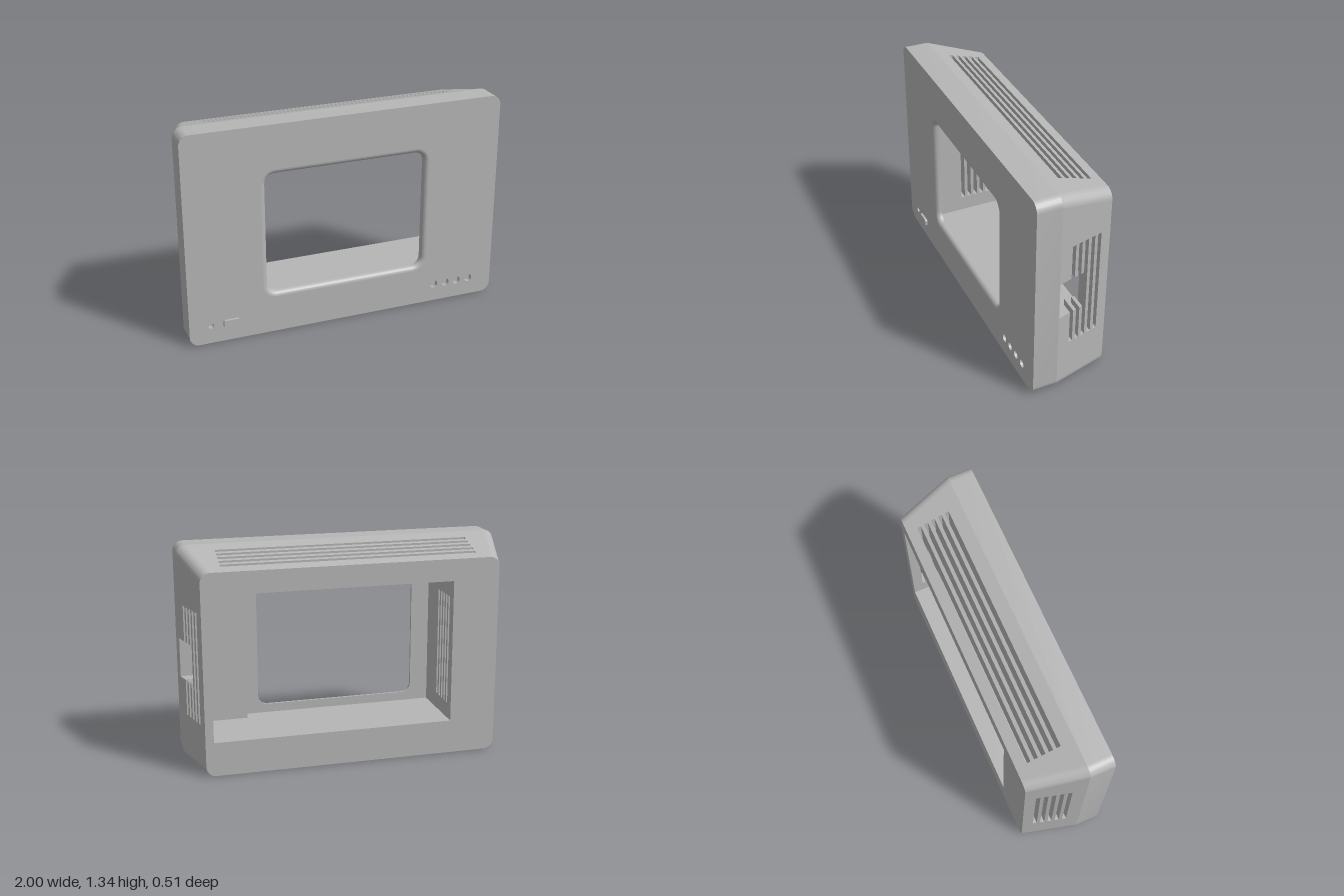
import * as THREE from 'three';
import { toCreasedNormals, mergeGeometries } from 'three/addons/utils/BufferGeometryUtils.js';

// Main dimensions
const FRONT = 0.24, BEND = 0.09, BACK = -0.255, R = 0.06;
const CAV = { x0: -0.62, x1: 0.86, y0: 0.21, y1: 1.1, ledgeX: 0.59, ledgeZ: 0.125, z: 0.2 };
const taper = z => Math.min(1, Math.max(0, (BEND - z) / (BEND - BACK)));
const halfW = z => 1 - 0.09 * taper(z);
const topY = z => 1.335 - 0.1 * taper(z);

export function createModel() {
  const model = new THREE.Group();
  const grey = new THREE.MeshStandardMaterial({ color: 0xb6b6b6, side: THREE.DoubleSide });
  grey.name = 'case grey';

  const add = (name, ...geos) => {
    const mesh = new THREE.Mesh(mergeGeometries(geos), grey);
    mesh.name = name;
    model.add(mesh);
  };

  // 2D outlines
  const rect = (a0, a1, b0, b1) => [[a0, b0], [a1, b0], [a1, b1], [a0, b1]];
  const rounded = (x0, x1, y0, y1, r) => {
    const pts = [];
    [[x1 - r, y1 - r], [x0 + r, y1 - r], [x0 + r, y0 + r], [x1 - r, y0 + r]].forEach(([cx, cy], q) => {
      for (let i = 0; i <= 10; i++) {
        const a = (q + i / 10) * Math.PI / 2;
        pts.push([cx + r * Math.cos(a), cy + r * Math.sin(a)]);
      }
    });
    return pts;
  };
  const circle = (cx, cy, r) => Array.from({ length: 32 }, (_, i) => {
    const a = i * Math.PI / 16;
    return [cx + r * Math.cos(a), cy + r * Math.sin(a)];
  });

  // Flat outline with holes, placed in space by a mapping rule
  const panel = (outline, holes, map) => {
    const vec = pts => pts.map(p => new THREE.Vector2(p[0], p[1]));
    const shape = new THREE.Shape(vec(outline));
    shape.holes = holes.map(h => new THREE.Path(vec(h)));
    const g = new THREE.ShapeGeometry(shape);
    const p = g.attributes.position;
    for (let i = 0; i < p.count; i++) p.setXYZ(i, ...map(p.getX(i), p.getY(i)));
    g.deleteAttribute('uv');
    return toCreasedNormals(g, 0.25);
  };

  // Ribbon joining a row of 3D loops
  const ribbon = (loops, closed = true) => {
    const n = loops[0].length, idx = [];
    for (let k = 0; k + 1 < loops.length; k++) {
      for (let i = 0; i < (closed ? n : n - 1); i++) {
        const a = k * n + i, b = k * n + (i + 1) % n;
        idx.push(a, b, b + n, a, b + n, a + n);
      }
    }
    const g = new THREE.BufferGeometry();
    g.setAttribute('position', new THREE.Float32BufferAttribute(loops.flat(2), 3));
    g.setIndex(idx);
    return toCreasedNormals(g, 0.25);
  };
  const tunnel = (pts, ...maps) => ribbon(maps.map(m => pts.map(p => m(...p))));

  // Mapping rules for each surface
  const atZ = z => (x, y) => [x, y, z];
  const atY = y => (x, z) => [x, y, z];
  const atX = x => (z, y) => [x, y, z];
  const onTop = (x, z) => [x, topY(z), z];
  const onSide = s => (z, y) => [s * halfW(z), y, z];

  // Ventilation slots share one spacing along z
  const slotZ = [0, 1, 2, 3, 4].map(i => [-0.0135 - i * 0.0445, 0.0105 - i * 0.0445]);
  const topSlots = slotZ.map(([a, b]) => rect(-0.78, 0.78, a, b));
  const sideSlots = slotZ.map(([a, b]) => rect(a, b, 0.31, 0.99));

  // Cable opening merged with the first three slots of the left wall
  const upper = [[0.088, 0.77]], lower = [[0.088, 0.53]];
  slotZ.slice(0, 3).forEach(([a, b], i) => {
    upper.push([b, 0.77], [b, 0.99], [a, 0.99]);
    lower.push([b, 0.53], [b, 0.31], [a, 0.31]);
    if (i < 2) { upper.push([a, 0.77]); lower.push([a, 0.53]); }
  });
  const leftHoles = [[...upper, ...lower.reverse()], sideSlots[3], sideSlots[4]];

  // Front face with softened window edge and small blind holes
  const frontOutline = rounded(-1, 1, 0, 1.335, R);
  const windowAt = d => rounded(-0.505 - d, 0.505 + d, 0.265 - d, 1.03 + d, 0.06 + d);
  const dots = [0.6, 0.68, 0.76, 0.843].map(x => circle(x, 0.115, 0.025));
  dots.push(circle(-0.865, 0.115, 0.017));
  add('frontFace', panel(frontOutline, [windowAt(0.03), ...dots], atZ(FRONT)));
  const edge = [windowAt(0).map(p => atZ(CAV.z)(...p))];
  for (let i = 0; i <= 8; i++) {
    const a = i * Math.PI / 16;
    edge.push(windowAt(0.03 * (1 - Math.cos(a))).map(p => atZ(FRONT - 0.03 * (1 - Math.sin(a)))(...p)));
  }
  add('windowEdge', ribbon(edge));
  add('frontHoles', ...dots.flatMap(d => [
    tunnel(d, atZ(FRONT), atZ(FRONT - 0.03)), panel(d, [], atZ(FRONT - 0.03))]));

  // Raised button
  const button = rounded(-0.79, -0.69, 0.09, 0.14, 0.012);
  add('button', tunnel(button, atZ(FRONT), atZ(0.255)), panel(button, [], atZ(0.255)));

  // Straight front band of the case
  add('frontBand', tunnel(frontOutline, atZ(FRONT), atZ(BEND)));

  // Tapered rear of the case: rounded corners, then flat sides
  const backOutline = rounded(-halfW(BACK), halfW(BACK), 0, topY(BACK), R);
  const corners = [0, 1, 2, 3].map(q => ribbon([[frontOutline, BEND], [backOutline, BACK]].map(
    ([pts, z]) => pts.slice(q * 11, q * 11 + 11).map(p => atZ(z)(...p))), false));
  add('roundedCorners', ...corners);
  const wide = [[-1 + R, BEND], [1 - R, BEND], [halfW(BACK) - R, BACK], [R - halfW(BACK), BACK]];
  const tall = [[BEND, R], [BEND, topY(BEND) - R], [BACK, topY(BACK) - R], [BACK, R]];
  const pocket = rect(-0.12, 0.12, -0.065, 0.065);
  add('topWall', panel(wide, topSlots, onTop));
  add('leftWall', panel(tall, leftHoles, onSide(1)));
  add('rightWall', panel(tall, sideSlots, onSide(-1)));
  add('bottomWall', panel(wide, [pocket], atY(0)));
  add('bottomPocket', tunnel(pocket, atY(0), atY(0.13)), panel(pocket, [], atY(0.13)));

  // Slot and opening walls through the thickness of the case
  add('topSlots', ...topSlots.map(s => tunnel(s, onTop, atY(CAV.y1))));
  add('leftOpenings', ...leftHoles.map(s => tunnel(s, onSide(1), atX(CAV.x1))));
  add('rightSlots', ...sideSlots.map(s => tunnel(s, onSide(-1), atX(CAV.x0))));

  // Back rim
  add('backRim', panel(backOutline, [rect(CAV.x0, CAV.x1, CAV.y0, CAV.y1)], atZ(BACK)));

  // Inner cavity with a ledge beside the window
  const { x0, x1, y0, y1, ledgeX, ledgeZ, z } = CAV;
  const plan = left => [[left, BACK], [x1, BACK], [x1, ledgeZ], [ledgeX, ledgeZ], [ledgeX, z], [left, z]];
  const ceiling = [[-0.8, -0.22], [x0, -0.22], ...plan(x0).slice(0, 5), [-0.8, z]];
  add('cavityFloor', panel(plan(x0), [], atY(y0)));
  add('cavityCeiling', panel(ceiling, slotZ.map(([a, b]) => rect(x0, 0.78, a, b)), atY(y1)));
  add('cavityLeftWall', panel(rect(BACK, ledgeZ, y0, y1), leftHoles, atX(x1)));
  add('cavityRightWall', panel(rect(BACK, z, y0, y1), sideSlots, atX(x0)));
  add('cavityLedge', panel(rect(ledgeX, x1, y0, y1), [], atZ(ledgeZ)),
    panel(rect(ledgeZ, z, y0, y1), [], atX(ledgeX)));
  add('windowFrameBack', panel(rect(x0, ledgeX, y0, y1), [windowAt(0)], atZ(z)));

  return model;
}
